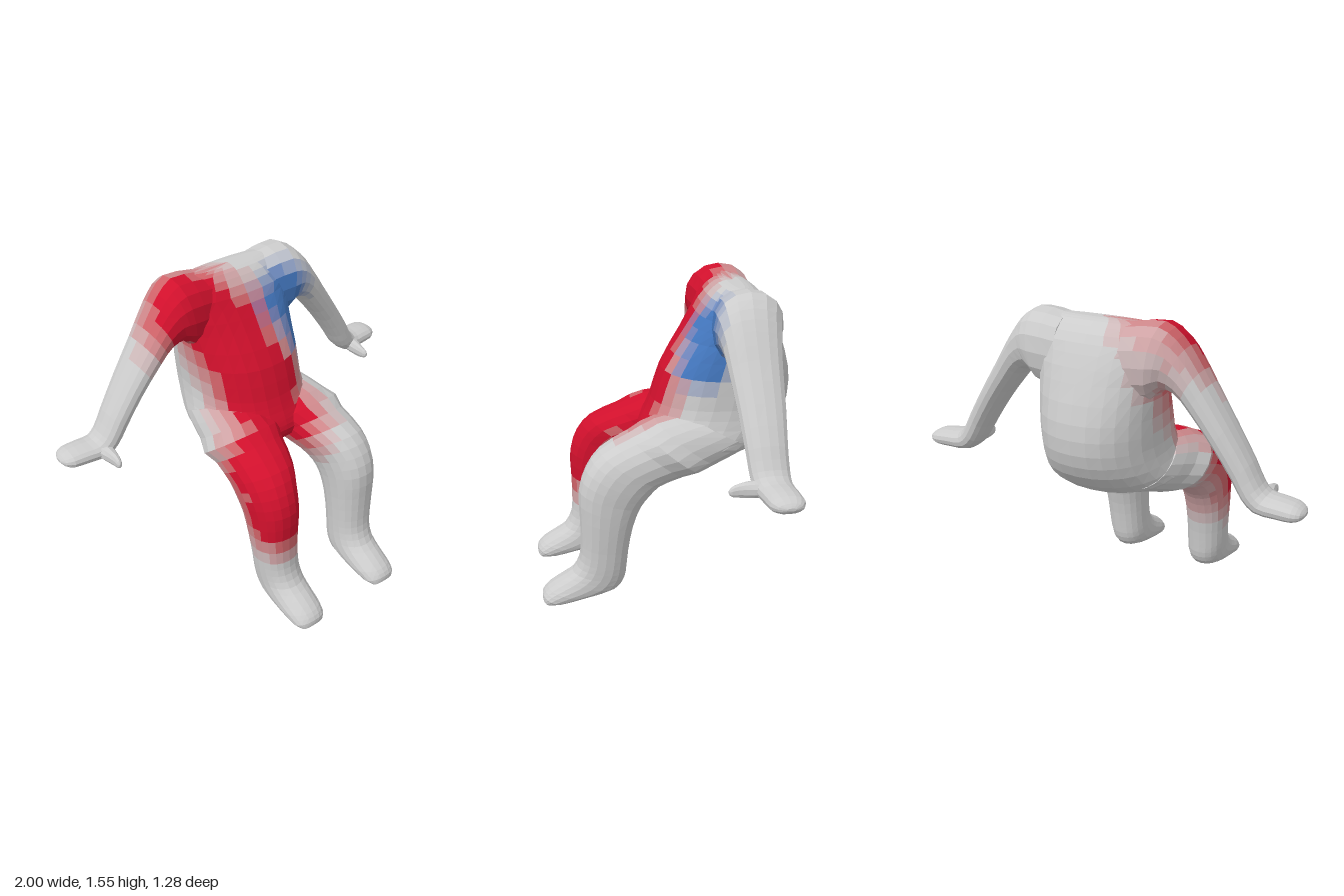
import * as THREE from 'three';

const V = (x, y, z) => new THREE.Vector3(x, y, z);
const GREY = new THREE.Color(0xcccccc), RED = new THREE.Color(0xd0102c), BLUE = new THREE.Color(0x4478c0);

// Soft colour patches: [x, y, z, radius]
const RED_SPOTS = [
  [-0.3, 1.43, -0.2, 0.36], [-0.15, 1.28, -0.13, 0.36], [-0.07, 1.05, 0.02, 0.36],
  [-0.05, 0.88, 0.1, 0.33], [-0.25, 0.78, 0.25, 0.32], [-0.25, 0.62, 0.38, 0.34],
];
const BLUE_SPOTS = [[0.22, 1.37, -0.15, 0.22], [0.26, 1.24, -0.15, 0.2]];
const LEVELS = 5;
const weight = (spots, p) => {
  let best = 0;
  for (const [x, y, z, r] of spots) best = Math.max(best, (r - p.distanceTo(V(x, y, z))) / (r * 0.55));
  return Math.round(Math.min(1, best) * LEVELS);
};

const materials = new Map();
function shade(r, b) {
  const key = r * 10 + b;
  if (!materials.has(key)) {
    const color = GREY.clone().lerp(RED, r / LEVELS).lerp(BLUE, b / LEVELS);
    materials.set(key, new THREE.MeshStandardMaterial({ color, flatShading: true }));
  }
  return materials.get(key);
}

// Loft through sections { a, b, w }: a and b are opposite edge points, w the half width vector.
// Quads are sorted by shade into one mesh per shade.
function loft(name, sections, { sides = 20, steps = 2, power = 0.9 } = {}) {
  const [ca, cb, cw] = ['a', 'b', 'w'].map(k => new THREE.CatmullRomCurve3(sections.map(s => s[k])));
  const n = (sections.length - 1) * steps;
  const bulge = v => Math.sign(v) * Math.abs(v) ** power;
  const rings = [], mids = [];
  for (let i = 0; i <= n; i++) {
    const a = ca.getPoint(i / n), b = cb.getPoint(i / n), w = cw.getPoint(i / n);
    const mid = a.clone().add(b).multiplyScalar(0.5), half = a.clone().sub(mid);
    mids.push(mid);
    rings.push(Array.from({ length: sides }, (_, j) => {
      const t = (j / sides) * Math.PI * 2;
      return mid.clone().addScaledVector(half, bulge(Math.cos(t))).addScaledVector(w, bulge(Math.sin(t)));
    }));
  }
  const faces = [];
  for (let j = 0; j < sides; j++) {
    const k = (j + 1) % sides;
    for (let i = 0; i < n; i++) faces.push([rings[i][j], rings[i][k], rings[i + 1][k], rings[i + 1][j]]);
    faces.push([mids[0], rings[0][k], rings[0][j]], [mids[n], rings[n][j], rings[n][k]]);
  }
  // The signed volume tells whether the faces point outward
  let volume = 0;
  for (const f of faces)
    for (let i = 2; i < f.length; i++) volume += f[0].dot(f[i - 1].clone().cross(f[i]));
  const bins = new Map();
  for (const f of faces) {
    if (volume < 0) f.reverse();
    const c = f.reduce((s, p) => s.add(p), V(0, 0, 0)).divideScalar(f.length);
    const mat = shade(weight(RED_SPOTS, c), weight(BLUE_SPOTS, c));
    if (!bins.has(mat)) bins.set(mat, []);
    for (let i = 2; i < f.length; i++)
      for (const p of [f[0], f[i - 1], f[i]]) bins.get(mat).push(p.x, p.y, p.z);
  }
  const group = new THREE.Group();
  group.name = name;
  for (const [mat, points] of bins) {
    const geo = new THREE.BufferGeometry();
    geo.setAttribute('position', new THREE.Float32BufferAttribute(points, 3));
    geo.computeVertexNormals();
    const mesh = new THREE.Mesh(geo, mat);
    mesh.name = name + 'Skin';
    group.add(mesh);
  }
  return group;
}

// Torso and pelvis: front z, y, back z, y, half width
const TORSO = [
  [-0.32, 1.543, -0.38, 1.545, 0.2], [-0.28, 1.53, -0.42, 1.535, 0.28], [-0.225, 1.48, -0.48, 1.49, 0.325],
  [-0.17, 1.4, -0.53, 1.41, 0.325], [-0.1, 1.29, -0.58, 1.29, 0.3], [0, 1.13, -0.633, 1.12, 0.288],
  [0.05, 0.98, -0.637, 0.98, 0.285], [0.08, 0.91, -0.59, 0.86, 0.3], [0.1, 0.87, -0.47, 0.75, 0.325],
  [0.115, 0.82, -0.24, 0.69, 0.33], [0.1, 0.77, -0.07, 0.69, 0.24], [0.07, 0.74, 0, 0.7, 0.15],
];

// Leg: upper z, y, lower z, y, inner x, outer x
const LEG = [
  [-0.1, 0.95, -0.43, 0.77, 0.01, 0.31], [0.06, 0.93, -0.24, 0.69, 0.015, 0.35],
  [0.19, 0.87, -0.08, 0.645, 0.03, 0.365], [0.335, 0.8, 0.04, 0.61, 0.075, 0.37],
  [0.405, 0.715, 0.1, 0.56, 0.11, 0.37], [0.44, 0.61, 0.14, 0.51, 0.125, 0.365],
  [0.44, 0.47, 0.18, 0.41, 0.135, 0.36], [0.44, 0.32, 0.205, 0.28, 0.14, 0.35],
  [0.45, 0.24, 0.215, 0.19, 0.14, 0.345], [0.485, 0.175, 0.225, 0.125, 0.138, 0.34],
  [0.55, 0.135, 0.26, 0.07, 0.138, 0.338], [0.61, 0.095, 0.4, 0.035, 0.142, 0.335],
  [0.637, 0.06, 0.53, 0.01, 0.155, 0.325], [0.638, 0.03, 0.6, 0.007, 0.18, 0.3],
];

// Arm and mitten hand: upper x, y, lower x, y, middle z, half depth
const ARM = [
  [0.16, 1.54, 0.17, 1.2, -0.36, 0.15], [0.32, 1.558, 0.28, 1.21, -0.355, 0.165],
  [0.4, 1.505, 0.325, 1.26, -0.345, 0.15], [0.465, 1.42, 0.39, 1.25, -0.342, 0.135],
  [0.535, 1.31, 0.46, 1.18, -0.342, 0.123], [0.64, 1.15, 0.57, 1.04, -0.345, 0.108],
  [0.74, 0.99, 0.66, 0.905, -0.345, 0.095], [0.79, 0.9, 0.71, 0.825, -0.348, 0.09],
  [0.825, 0.868, 0.77, 0.775, -0.352, 0.085], [0.88, 0.863, 0.87, 0.77, -0.36, 0.082],
  [0.95, 0.855, 0.95, 0.775, -0.367, 0.078], [0.985, 0.838, 0.985, 0.79, -0.37, 0.055],
  [0.999, 0.822, 0.999, 0.808, -0.37, 0.02],
];

// Thumb: x, y, z, half height, half width
const THUMB = [
  [0.8, 0.82, -0.34, 0.035, 0.045], [0.79, 0.818, -0.265, 0.038, 0.035],
  [0.785, 0.813, -0.2, 0.032, 0.02], [0.787, 0.81, -0.17, 0.022, 0.014], [0.788, 0.81, -0.158, 0.008, 0.006],
];

export function createModel() {
  const model = new THREE.Group();
  model.name = 'seatedBody';
  model.add(loft('torso', TORSO.map(([fz, fy, bz, by, hw]) =>
    ({ a: V(0, fy, fz), b: V(0, by, bz), w: V(hw, 0, 0) })), { sides: 28 }));
  for (const [side, s] of [['left', 1], ['right', -1]]) {
    model.add(loft(side + 'Leg', LEG.map(([tz, ty, bz, by, xi, xo]) => {
      const x = s * (xi + xo) / 2;
      return { a: V(x, ty, tz), b: V(x, by, bz), w: V((xo - xi) / 2, 0, 0) };
    })));
    model.add(loft(side + 'Arm', ARM.map(([tx, ty, bx, by, z, hd]) =>
      ({ a: V(s * tx, ty, z), b: V(s * bx, by, z), w: V(0, 0, hd) })), { sides: 16 }));
    model.add(loft(side + 'Thumb', THUMB.map(([x, y, z, hh, hw]) =>
      ({ a: V(s * x, y + hh, z), b: V(s * x, y - hh, z), w: V(hw, 0, 0) })), { sides: 10 }));
  }
  return model;
}
